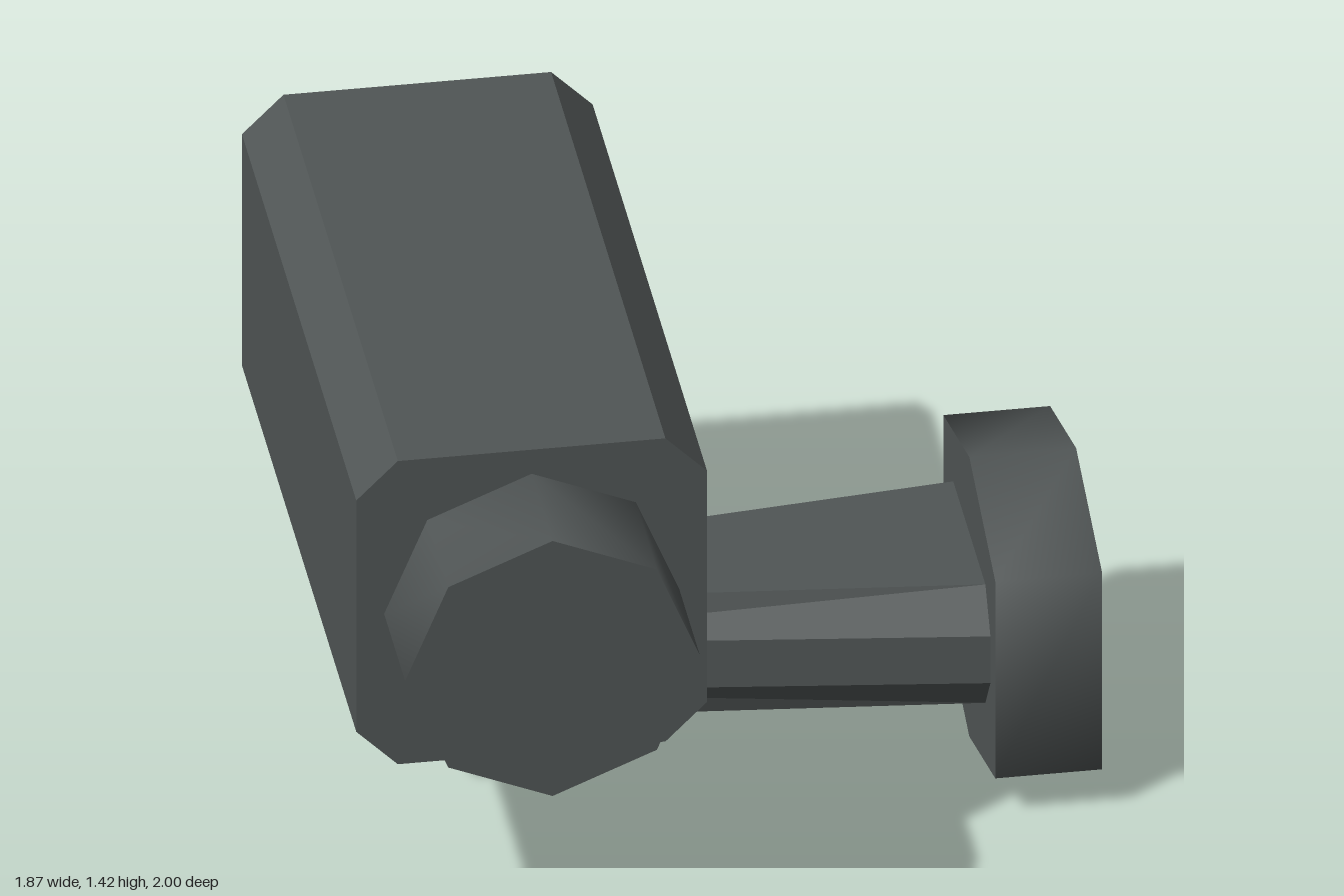
import * as THREE from 'three';
import { toCreasedNormals } from 'three/addons/utils/BufferGeometryUtils.js';

const charcoal = new THREE.MeshStandardMaterial({ color: 0x505555 });
charcoal.name = 'charcoal';

function part(name, geometry) {
  const mesh = new THREE.Mesh(geometry, charcoal);
  mesh.name = name;
  return mesh;
}

// Straight prism over an outline, running from z = 0 to z = depth
function prism(points, depth, crease = 0) {
  const shape = new THREE.Shape(points.map(([x, y]) => new THREE.Vector2(x, y)));
  const geometry = new THREE.ExtrudeGeometry(shape, { depth, bevelEnabled: false });
  return crease ? toCreasedNormals(geometry, crease) : geometry;
}

// Tapered eight-sided arm with a chamfered free end
function armGeometry() {
  const zMid = -0.143;
  // [across, y, isSide], counter-clockwise as seen from +x
  const corners = [
    [1, 0.337, true], [1, 0.467, true], [1, 0.567, false], [-1, 0.567, false],
    [-1, 0.467, true], [-1, 0.337, true], [-1, 0.237, false], [1, 0.237, false],
  ];
  const free = corners.map(([s, y, side]) =>
    side ? [-0.755, y, zMid - s * 0.122] : [-0.67, y, zMid - s * 0.098]);
  const wall = corners.map(([s, y, side]) =>
    [0.68, y, zMid - s * (side ? 0.313 : 0.238)]);

  const positions = [];
  const tri = (a, b, c) => positions.push(...a, ...b, ...c);
  const quad = (a, b, c, d) => { tri(a, b, c); tri(a, c, d); };

  // Long faces
  for (let i = 0; i < 8; i++) {
    const j = (i + 1) % 8;
    if (corners[i][2]) quad(free[i], free[j], wall[j], wall[i]);
    else quad(free[j], wall[j], wall[i], free[i]);
  }
  // Free end: flat face and two chamfers, then the wall end
  for (const [a, b, c, d] of [[0, 5, 4, 1], [4, 3, 2, 1], [0, 7, 6, 5]]) {
    quad(free[a], free[b], free[c], free[d]);
  }
  for (let i = 1; i < 7; i++) tri(wall[0], wall[i], wall[i + 1]);

  const geometry = new THREE.BufferGeometry();
  geometry.setAttribute('position', new THREE.Float32BufferAttribute(positions, 3));
  geometry.computeVertexNormals();
  return geometry;
}

export function createModel() {
  const group = new THREE.Group();
  group.name = 'securityCamera';

  // Housing: square tube with chamfered edges
  const h = 0.422, c = 0.322;
  const housing = part('housing', prism(
    [[h, -c], [h, c], [c, h], [-c, h], [-h, c], [-h, -c], [-c, -h], [c, -h]], 1.69));
  housing.position.set(-0.514, 0.996, -1);
  group.add(housing);

  // Lens barrel: octagon with a corner at the top
  const octagon = Array.from({ length: 8 }, (_, i) => {
    const a = (i * Math.PI) / 4;
    return [0.355 * Math.cos(a), 0.355 * Math.sin(a)];
  });
  const lens = part('lensBarrel', prism(octagon, 0.31, 1.4));
  lens.position.set(-0.514, 0.996, 0.69);
  group.add(lens);

  // Mounting arm
  group.add(part('mountingArm', armGeometry()));

  // Wall plate: broad hexagon facing +x
  const plate = part('wallPlate', prism(
    [[0, -0.389], [0.384, -0.274], [0.384, 0.274], [0, 0.389], [-0.384, 0.274], [-0.384, -0.274]],
    0.257, 1.4));
  plate.rotation.y = Math.PI / 2;
  plate.position.set(0.675, 0.389, -0.143);
  group.add(plate);

  return group;
}
